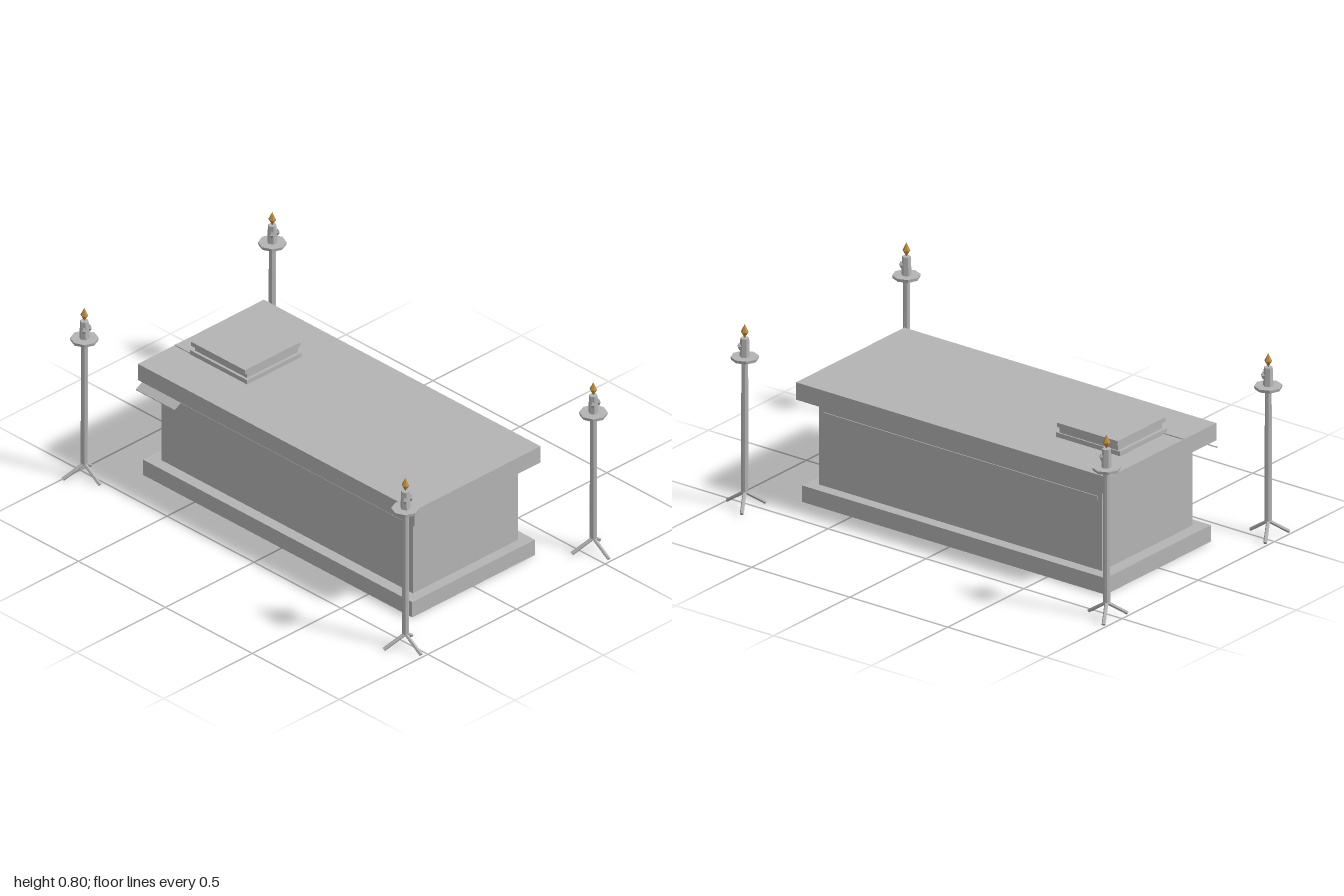
import * as THREE from 'three';

const stone = new THREE.MeshStandardMaterial({ color: 0xb4b4b4, flatShading: true });
stone.name = 'grey stone';
const fire = new THREE.MeshStandardMaterial({ color: 0xc08f48, flatShading: true });
fire.name = 'amber flame';

function add(parent, name, geometry, material, x = 0, y = 0, z = 0) {
  const mesh = new THREE.Mesh(geometry, material);
  mesh.name = name;
  mesh.position.set(x, y, z);
  parent.add(mesh);
  return mesh;
}

// Box given by its extents on each axis
function block(parent, name, [x0, x1], [y0, y1], [z0, z1]) {
  return add(parent, name, new THREE.BoxGeometry(x1 - x0, y1 - y0, z1 - z0), stone,
    (x0 + x1) / 2, (y0 + y1) / 2, (z0 + z1) / 2);
}

// Cylinder running between two points
function rod(parent, name, a, b, radius) {
  const dir = b.clone().sub(a);
  const mid = a.clone().add(b).multiplyScalar(0.5);
  const mesh = add(parent, name, new THREE.CylinderGeometry(radius, radius, dir.length(), 6), stone, mid.x, mid.y, mid.z);
  mesh.quaternion.setFromUnitVectors(new THREE.Vector3(0, 1, 0), dir.normalize());
}

function createCandleStand() {
  const stand = new THREE.Group();
  stand.name = 'candleStand';

  // Three splayed feet
  for (let i = 0; i < 3; i++) {
    const a = i * Math.PI * 2 / 3;
    rod(stand, 'foot', new THREE.Vector3(0, 0.068, 0),
      new THREE.Vector3(Math.cos(a) * 0.09, 0.007, Math.sin(a) * 0.09), 0.008);
  }
  add(stand, 'pole', new THREE.CylinderGeometry(0.014, 0.015, 0.58, 8), stone, 0, 0.36, 0);
  add(stand, 'dripTray', new THREE.CylinderGeometry(0.058, 0.056, 0.013, 8), stone, 0, 0.654, 0);
  add(stand, 'candle', new THREE.CylinderGeometry(0.018, 0.021, 0.082, 6), stone, 0, 0.70, 0);

  // Wax drips on the side of the candle
  for (const s of [-1, 1]) {
    const drip = add(stand, 'waxDrip', new THREE.OctahedronGeometry(0.01), stone, 0.014, 0.706, s * 0.017);
    drip.scale.y = 1.8;
  }

  const profile = [[0, 0.74], [0.016, 0.768], [0, 0.802]].map(p => new THREE.Vector2(...p));
  add(stand, 'flame', new THREE.LatheGeometry(profile, 6), fire);
  return stand;
}

export function createModel() {
  const model = new THREE.Group();
  model.name = 'stoneTomb';

  // Tomb
  block(model, 'plinth', [-0.797, 0.752], [0, 0.072], [-0.347, 0.345]);
  block(model, 'chest', [-0.74, 0.705], [0.072, 0.445], [-0.297, 0.295]);
  block(model, 'lidSlab', [-0.815, 0.777], [0.444, 0.52], [-0.355, 0.356]);
  for (const s of [-1, 1])
    block(model, 'sideMoulding', [-0.72, 0.68], [0.378, 0.395], [s * 0.297 - 0.004, s * 0.297 + 0.004]);

  // Closed book lying on the lid
  const book = new THREE.Group();
  book.name = 'book';
  model.add(book);
  block(book, 'lowerCover', [-0.72, -0.392], [0.52, 0.54], [-0.152, 0.154]);
  block(book, 'pages', [-0.705, -0.405], [0.54, 0.566], [-0.146, 0.142]);
  block(book, 'upperCover', [-0.71, -0.40], [0.566, 0.585], [-0.156, 0.158]);
  block(book, 'ribbon', [-0.812, -0.70], [0.52, 0.524], [0.138, 0.151]);

  // Thin sheet sloping out from under the lid
  const flap = add(model, 'slopingSheet', new THREE.BoxGeometry(0.22, 0.006, 0.083), stone, -0.70, 0.426, 0.335);
  flap.rotation.x = 0.5;

  // Candle stands at the four corners
  for (const x of [-0.945, 0.902])
    for (const z of [-0.53, 0.53]) {
      const stand = createCandleStand();
      stand.position.set(x, 0, z);
      model.add(stand);
    }
  return model;
}
